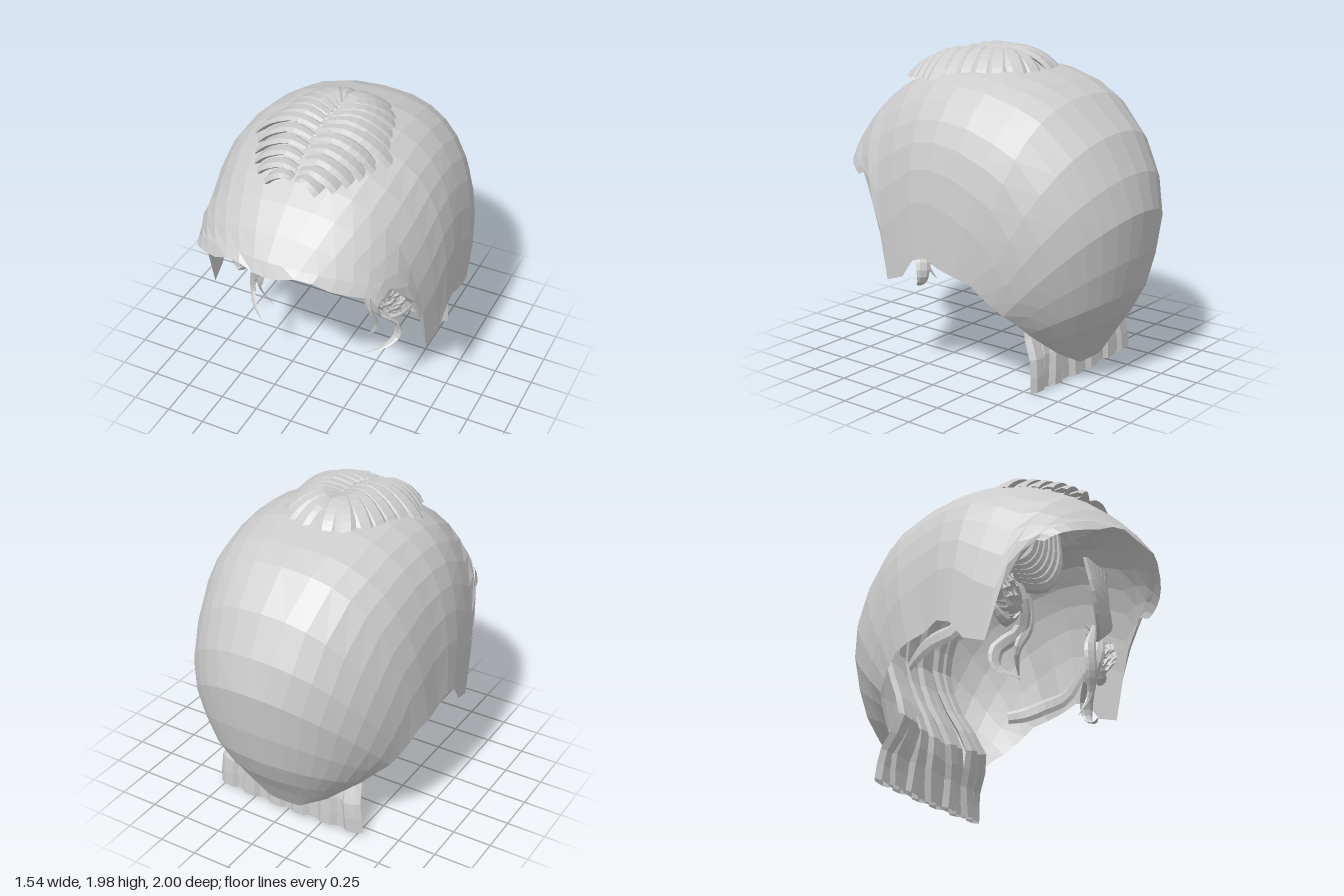
import * as THREE from 'three';

const grey = new THREE.MeshStandardMaterial({ color: 0xcccccc, side: THREE.DoubleSide });
grey.name = 'plain grey';

// Joins rows of points into a faceted surface
function loft(rows, closed = false) {
  const n = rows[0].length, pos = [], index = [];
  rows.forEach(r => r.forEach(p => pos.push(p.x, p.y, p.z)));
  for (let i = 0; i < rows.length - 1; i++) {
    for (let j = 0; j < (closed ? n : n - 1); j++) {
      const a = i * n + j, b = i * n + (j + 1) % n, c = a + n, d = b + n;
      index.push(a, c, b, b, c, d);
    }
  }
  let g = new THREE.BufferGeometry();
  g.setAttribute('position', new THREE.Float32BufferAttribute(pos, 3));
  g.setIndex(index);
  g = g.toNonIndexed();
  g.computeVertexNormals();
  return g;
}

// Flat lock of hair swept along a curve; width(t) scales it from root to tip
function lock(points, side, w, thick, width, segments = 10) {
  const curve = new THREE.CatmullRomCurve3(points.map(p => new THREE.Vector3(...p)));
  const ref = new THREE.Vector3(...side), rows = [];
  for (let i = 0; i <= segments; i++) {
    const t = i / segments, c = curve.getPoint(t), tan = curve.getTangent(t);
    const u = ref.clone().addScaledVector(tan, -ref.dot(tan)).normalize();
    const v = tan.clone().cross(u);
    const row = [];
    for (let k = 0; k < 6; k++) {
      const a = k * Math.PI / 3, s = width(t);
      row.push(c.clone().addScaledVector(u, Math.cos(a) * w * s).addScaledVector(v, Math.sin(a) * thick * s));
    }
    rows.push(row);
  }
  return loft(rows, true);
}

const taper = t => Math.max(0.04, Math.min(1, 0.35 + t * 3, (1 - t) * 2.2));
const full = t => 0.75 + 0.25 * Math.sin(t * Math.PI);

function add(group, name, geometry) {
  const m = new THREE.Mesh(geometry, grey);
  m.name = name;
  group.add(m);
}

// Hood: ribs run from the centre line (y, z) down to the rim (x, y, z); last value is squareness
function hoodGeometry() {
  const ribs = [
    [1.34, 1.0, 0.62, 1.18, 0.69, 1.7], [1.42, 0.96, 0.63, 1.21, 0.62, 1.8],
    [1.54, 0.86, 0.68, 1.03, 0.5, 2.1], [1.66, 0.72, 0.72, 0.86, 0.43, 2.4],
    [1.75, 0.58, 0.74, 0.59, 0.36, 2.7], [1.82, 0.42, 0.76, 0.64, 0.22, 2.9],
    [1.87, 0.2, 0.77, 0.76, 0.13, 3], [1.88, 0, 0.77, 0.79, 0.04, 3],
    [1.86, -0.22, 0.76, 0.74, -0.06, 3], [1.8, -0.45, 0.76, 0.71, -0.18, 2.8],
    [1.73, -0.6, 0.74, 0.68, -0.28, 2.6], [1.53, -0.82, 0.72, 0.62, -0.34, 2.3],
    [1.3, -0.94, 0.69, 0.56, -0.4, 2.2], [1.08, -1, 0.65, 0.5, -0.46, 2],
    [0.8, -0.97, 0.58, 0.44, -0.5, 2], [0.57, -0.92, 0.5, 0.36, -0.53, 2],
    [0.4, -0.84, 0.4, 0.28, -0.56, 2], [0.27, -0.75, 0.3, 0.2, -0.6, 2],
    [0.1, -0.65, 0.12, 0.1, -0.64, 2],
  ];
  const half = 9;
  return loft(ribs.map(([my, mz, ex, ey, ez, n], i) => {
    const row = [];
    for (let j = -half; j <= half; j++) {
      const a = Math.abs(j) / half * Math.PI / 2;
      const s = Math.sin(a) ** (2 / n), c = Math.max(0, Math.cos(a)) ** (2 / n);
      // shallow arch on either side of the brow point
      const arch = i === 0 ? 0.05 * Math.exp(-(((ex * s - 0.22) / 0.1) ** 2)) : 0;
      row.push(new THREE.Vector3(Math.sign(j) * ex * s, ey + (my - ey) * c + arch, ez + (mz - ez) * c));
    }
    return row;
  }));
}

export function createModel() {
  const model = new THREE.Group();
  add(model, 'hood', hoodGeometry());

  // Back hair: long strips down the inside of the hood, flaring at the nape
  const back = new THREE.Group();
  back.name = 'backHair';
  const path = [[0.005, -0.59, 0.52], [0.2, -0.58, 0.5], [0.42, -0.57, 0.43], [0.7, -0.7, 0.36],
    [1.0, -0.8, 0.34], [1.3, -0.74, 0.33], [1.6, -0.52, 0.28], [1.8, -0.15, 0.2]];
  const strips = 11;
  for (let i = 0; i < strips; i++) {
    const f = i / (strips - 1) * 2 - 1;
    const pts = path.map(([y, z, x], k) => [
      x * f * 0.9 + 0.012 * Math.sin(k * 2 + i * 1.7), y,
      z + 0.1 * f * f * (y > 0.4 ? 1 : 0.2) + (i % 2) * 0.025,
    ]);
    add(back, 'backStrip', lock(pts, [1, 0, 0], 0.072, 0.03, t => 1 - 0.3 * t, 14));
  }
  model.add(back);

  // Crown hair: overlapping locks combed out from a centre parting
  const crown = new THREE.Group();
  crown.name = 'crownHair';
  // parting y, parting z, then tip x, y, z
  const locks = [
    [1.79, 0.61, 0.16, 1.73, 0.62], [1.82, 0.56, 0.24, 1.74, 0.56], [1.86, 0.5, 0.29, 1.75, 0.49],
    [1.89, 0.43, 0.33, 1.76, 0.41], [1.92, 0.36, 0.36, 1.77, 0.33], [1.94, 0.28, 0.42, 1.77, 0.24],
    [1.95, 0.21, 0.39, 1.78, 0.15], [1.95, 0.15, 0.37, 1.78, 0.05], [1.95, 0.1, 0.34, 1.79, -0.05],
    [1.95, 0.06, 0.29, 1.8, -0.14], [1.95, 0.04, 0.2, 1.82, -0.23], [1.94, 0.02, 0.09, 1.83, -0.26],
  ];
  // Face hair: drapes swept to the temples
  const face = new THREE.Group();
  face.name = 'faceHair';

  for (const s of [-1, 1]) {
    for (const [y, z, x, ty, tz] of locks) {
      const rise = (y - ty) * 0.95;
      const at = (k, h) => [s * (0.012 + (x - 0.012) * k), ty + rise * h, z + (tz - z) * k];
      const pts = [[s * 0.012, y - 0.02, z], at(0.3, 1.08), at(0.6, 0.85), at(0.85, 0.42), at(1, 0)];
      const side = new THREE.Vector3(tz - z, 0, -s * x).normalize().toArray();
      add(crown, 'crownLock', lock(pts, side, 0.062, 0.022, t => 0.55 + 0.45 * Math.min(1, t * 2), 8));
    }

    // Curtain of locks under the brow
    for (let i = 0; i < 6; i++) {
      const d = i * 0.045;
      add(face, 'drape', lock([
        [s * (0.17 + d), 1.48, 0.5], [s * (0.21 + d), 1.25, 0.53 - d * 0.2],
        [s * (0.31 + d * 0.9), 1.08 + d * 0.35, 0.5 - d * 0.2],
        [s * (0.45 + d * 0.5), 1.05 + d * 0.4, 0.42], [s * 0.61, 1.17, 0.3],
      ], [s * 0.8, 0.6, 0], 0.042, 0.018, full, 12));
    }

    // Small knot of twisted locks at the temple
    for (let i = 0; i < 5; i++) {
      const a = i * 1.26, x = 0.55 + 0.04 * Math.cos(a), y = 0.93 + 0.05 * Math.sin(a);
      add(face, 'templeTwist', lock([
        [s * (x - 0.08), y + 0.2, 0.33], [s * (x + 0.03), y + 0.06, 0.42],
        [s * (x - 0.05), y - 0.06, 0.4], [s * (x + 0.06), y - 0.08, 0.33],
      ], [s * 0.4, 0.7, 0.5], 0.032, 0.014, taper));
    }

    // Loose curls hanging in front of the ears
    add(face, 'longCurl', lock([
      [s * 0.55, 1.2, 0.36], [s * 0.45, 0.98, 0.42], [s * 0.4, 0.78, 0.38], [s * 0.5, 0.65, 0.28],
      [s * 0.51, 0.54, 0.28], [s * 0.45, 0.48, 0.36], [s * 0.35, 0.46, 0.45],
    ], [0.8, 0, 0.6], 0.045, 0.014, taper, 16));
    add(face, 'shortCurl', lock([
      [s * 0.46, 1.15, 0.38], [s * 0.36, 0.95, 0.4], [s * 0.37, 0.8, 0.4],
      [s * 0.41, 0.65, 0.36], [s * 0.33, 0.5, 0.32],
    ], [0.8, 0, 0.6], 0.04, 0.014, taper, 14));
    add(face, 'outerCurl', lock([
      [s * 0.52, 1.08, 0.36], [s * 0.46, 0.9, 0.4], [s * 0.53, 0.78, 0.38], [s * 0.62, 0.86, 0.34],
      [s * 0.64, 0.97, 0.3],
    ], [0, 0.5, 0.9], 0.035, 0.014, taper, 14));

    // Lock sweeping back behind the ear
    add(face, 'earLock', lock([
      [s * 0.6, 0.92, 0.2], [s * 0.62, 0.78, 0.06], [s * 0.62, 0.75, -0.1],
      [s * 0.58, 0.71, -0.24], [s * 0.52, 0.69, -0.34],
    ], [0, 1, 0], 0.055, 0.018, full));
  }
  model.add(crown, face);
  return model;
}
